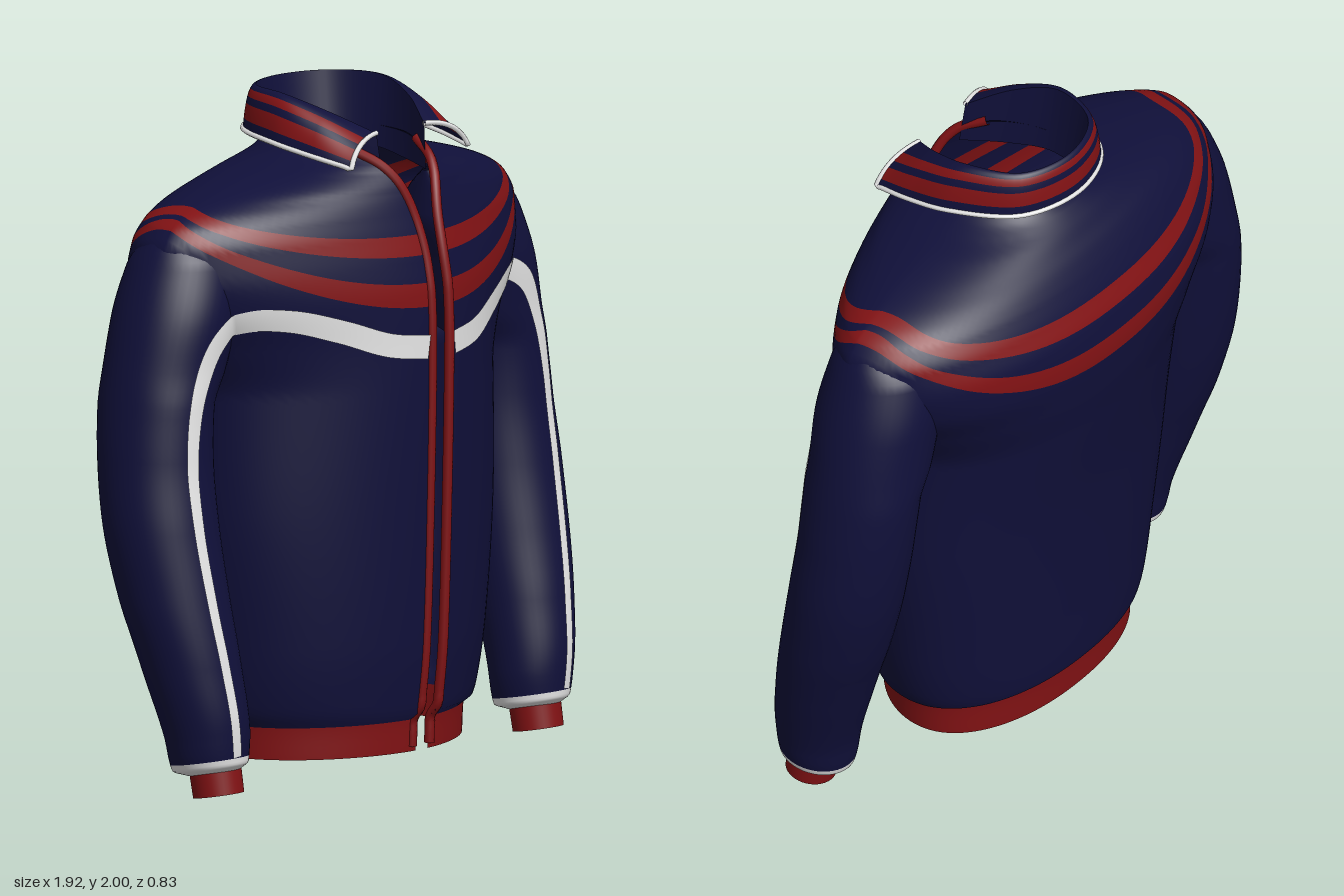
import * as THREE from 'three';

const V = (x, y, z) => new THREE.Vector3(x, y, z);
const lerp = THREE.MathUtils.lerp;
const mat = (name, color) => {
  const m = new THREE.MeshStandardMaterial({ color, side: THREE.DoubleSide });
  m.name = name;
  return m;
};

// Smooth, overshoot-free lookup in rows of [y, a, b, ...]
function lookup(rows, y) {
  const n = rows.length;
  y = THREE.MathUtils.clamp(y, rows[0][0], rows[n - 1][0]);
  let i = 0;
  while (i < n - 2 && y > rows[i + 1][0]) i++;
  const h = rows[i + 1][0] - rows[i][0], t = (y - rows[i][0]) / h;
  const sec = (k, c) => (rows[k + 1][c] - rows[k][c]) / (rows[k + 1][0] - rows[k][0]);
  const slope = (k, c) => {
    if (k === 0) return sec(0, c);
    if (k === n - 1) return sec(n - 2, c);
    const a = sec(k - 1, c), b = sec(k, c);
    return a * b <= 0 ? 0 : (2 * a * b) / (a + b);
  };
  return rows[i].slice(1).map((_, j) => {
    const c = j + 1, a = rows[i][c], b = rows[i + 1][c];
    return a * (1 + 2 * t) * (1 - t) ** 2 + b * t * t * (3 - 2 * t)
      + h * (slope(i, c) * t * (1 - t) ** 2 - slope(i + 1, c) * t * t * (1 - t));
  });
}

// Grid surface from f(u, v), with normals taken from the surface itself
function surface(name, f, nu, nv, material) {
  const pos = [], nor = [], idx = [], e = 1e-3;
  for (let j = 0; j <= nv; j++) for (let i = 0; i <= nu; i++) {
    const u = i / nu, v = j / nv;
    const du = f(Math.min(u + e, 1), v).sub(f(Math.max(u - e, 0), v));
    const dv = f(u, Math.min(v + e, 1)).sub(f(u, Math.max(v - e, 0)));
    pos.push(...f(u, v).toArray());
    nor.push(...du.cross(dv).normalize().toArray());
    if (i < nu && j < nv) {
      const a = j * (nu + 1) + i, b = a + nu + 1;
      idx.push(a, a + 1, b, a + 1, b + 1, b);
    }
  }
  const g = new THREE.BufferGeometry();
  g.setAttribute('position', new THREE.Float32BufferAttribute(pos, 3));
  g.setAttribute('normal', new THREE.Float32BufferAttribute(nor, 3));
  g.setIndex(idx);
  const m = new THREE.Mesh(g, material);
  m.name = name;
  return m;
}

// Torso: height, half width, front z, back z, front roundness, half gap
const TORSO = [
  [0.07, 0.45, 0.335, -0.245, 1.9, 0.028], [0.165, 0.455, 0.34, -0.25, 1.9, 0.028],
  [0.18, 0.485, 0.362, -0.268, 1.9, 0.028], [0.24, 0.51, 0.372, -0.275, 1.9, 0.028],
  [0.4, 0.54, 0.388, -0.285, 1.9, 0.028], [0.8, 0.585, 0.402, -0.32, 1.85, 0.028],
  [1.15, 0.595, 0.41, -0.375, 1.75, 0.028], [1.3, 0.67, 0.412, -0.4, 1.6, 0.028],
  [1.42, 0.755, 0.408, -0.41, 1.55, 0.028], [1.52, 0.785, 0.392, -0.4, 1.55, 0.028],
  [1.6, 0.782, 0.372, -0.37, 1.55, 0.033], [1.66, 0.745, 0.355, -0.34, 1.55, 0.042],
  [1.69, 0.7, 0.347, -0.322, 1.55, 0.05], [1.715, 0.64, 0.34, -0.305, 1.55, 0.058],
  [1.745, 0.54, 0.33, -0.28, 1.6, 0.07], [1.775, 0.42, 0.318, -0.255, 1.6, 0.085],
  [1.8, 0.31, 0.305, -0.23, 1.7, 0.1], [1.82, 0.25, 0.29, -0.21, 1.7, 0.115],
  [1.85, 0.2, 0.27, -0.19, 1.8, 0.14],
];
const BACK = 2.15;

function torsoPoint(u, y) {
  const [w, zf, zb, pf, gap] = lookup(TORSO, y);
  const t0 = Math.asin((gap / w) ** (pf / 2));
  const t = t0 + u * 2 * (Math.PI - t0), s = Math.sin(t), c = Math.cos(t);
  const q = 2 / (c > 0 ? pf : BACK);
  return V(w * Math.sign(s) * Math.abs(s) ** q, y, (c > 0 ? zf : zb) * Math.abs(c) ** q);
}

// Sleeve: height, inner x, outer x, front z, back z
const SLEEVE = [
  [0.08, 0.668, 0.81, 0.235, 0.08], [0.1, 0.632, 0.852, 0.258, 0.035],
  [0.2, 0.62, 0.876, 0.262, 0.015], [0.4, 0.621, 0.917, 0.24, -0.05],
  [0.6, 0.621, 0.948, 0.205, -0.12], [0.8, 0.62, 0.96, 0.17, -0.17],
  [1.0, 0.617, 0.947, 0.145, -0.2], [1.15, 0.607, 0.928, 0.14, -0.213],
  [1.25, 0.55, 0.91, 0.142, -0.217], [1.4, 0.5, 0.873, 0.15, -0.217],
  [1.55, 0.45, 0.815, 0.135, -0.2], [1.63, 0.45, 0.765, 0.09, -0.14],
  [1.68, 0.45, 0.69, 0.02, -0.06],
];
const tilt = (p) => {
  p.y += 0.18 * (p.z - 0.15) * THREE.MathUtils.clamp(1 - (p.y - 0.1) / 0.4, 0, 1);
  return p;
};
function sleevePoint(u, y) {
  const [a, b, f, k] = lookup(SLEEVE, y), t = u * 2 * Math.PI;
  return tilt(V((a + b) / 2 + (b - a) / 2 * Math.sin(t), y, (f + k) / 2 + (f - k) / 2 * Math.cos(t)));
}

// Foremost z of torso or sleeve at (x, y)
function frontZ(x, y) {
  const [w, zf, , pf] = lookup(TORSO, y), [a, b, f, k] = lookup(SLEEVE, y);
  const X = x / w, S = (x - (a + b) / 2) / ((b - a) / 2);
  const zt = X < 1 ? zf * (1 - X ** pf) ** (1 / pf) : -1;
  const zs = Math.abs(S) < 1 ? (f + k) / 2 + (f - k) / 2 * Math.sqrt(1 - S * S) : -1;
  return Math.max(zt, zs);
}

const mirrored = (f, side) => (u, v) => {
  const p = f(side > 0 ? u : 1 - u, v);
  p.x *= side;
  return p;
};

export function createModel() {
  const navy = mat('navy cloth', 0x10103a);
  const red = mat('red knit', 0x821214);
  const white = mat('white piping', 0xececec);
  const jacket = new THREE.Group();
  jacket.name = 'jacket';

  // Torso in horizontal bands; each edge is [height at centre, height at shoulder]
  const edges = [[0.07, 0.07], [0.165, 0.165], [1.39, 1.662], [1.46, 1.688], [1.54, 1.698], [1.6, 1.717], [1.85, 1.85]];
  const bands = [['hemBand', red, 5], ['body', navy, 64], ['lowerYokeStripe', red, 4],
    ['yokeGap', navy, 4], ['upperYokeStripe', red, 4], ['shoulders', navy, 26]];
  bands.forEach(([name, m, rows], i) => {
    const at = ([c, s], u) => lerp(c, s, Math.abs(Math.sin(u * 2 * Math.PI)) ** 2.5);
    jacket.add(surface(name, (u, v) => torsoPoint(u, lerp(at(edges[i], u), at(edges[i + 1], u), v)), 112, rows, m));
  });

  // White chest stripe running down the sleeve: x, y, width
  const path = new THREE.CatmullRomCurve3([
    V(0.058, 1.272, 0.07), V(0.2, 1.292, 0.07), V(0.35, 1.345, 0.068), V(0.5, 1.388, 0.066),
    V(0.61, 1.392, 0.066), V(0.71, 1.34, 0.064), V(0.78, 1.21, 0.052), V(0.815, 1.05, 0.042),
    V(0.823, 0.85, 0.038), V(0.81, 0.6, 0.036), V(0.785, 0.35, 0.034), V(0.76, 0.12, 0.032)]);
  const stripe = (u, v) => {
    const p = path.getPoint(u), t = path.getTangent(u), l = Math.hypot(t.x, t.y);
    const d = (v - 0.5) * p.z, x = p.x - t.y / l * d, y = p.y + t.x / l * d;
    return tilt(V(x, y, frontZ(x, y) + 0.005));
  };

  for (const side of [1, -1]) {
    const tag = side > 0 ? 'left' : 'right';
    // Sleeve, its white end piping and the cuff
    const part = (y0, y1) => mirrored((u, v) => sleevePoint(u, lerp(y0, y1, v)), side);
    jacket.add(surface(tag + 'Sleeve', part(0.118, 1.68), 48, 60, navy));
    jacket.add(surface(tag + 'SleevePiping', part(0.08, 0.118), 48, 6, white));
    jacket.add(surface(tag + 'ChestStripe', mirrored(stripe, side), 120, 4, white));

    const cuff = new THREE.Group();
    cuff.name = tag + 'Cuff';
    const band = new THREE.Mesh(new THREE.CylinderGeometry(0.077, 0.075, 0.1, 40, 1, true), red);
    band.name = 'cuffBand';
    const inside = new THREE.Mesh(new THREE.CircleGeometry(0.075, 40).rotateX(Math.PI / 2), navy);
    inside.name = 'cuffInside';
    inside.position.y = -0.046;
    cuff.add(band, inside);
    cuff.position.set(side * 0.738, 0.066, 0.165);
    cuff.rotation.x = -0.17;
    jacket.add(cuff);

    // Red edging of the front opening
    const pts = [];
    for (let i = 0; i <= 44; i++) {
      const p = torsoPoint(0, lerp(0.085, 1.84, i / 44));
      pts.push(V(side * (p.x + 0.012), p.y, p.z - 0.004));
    }
    const edging = new THREE.Mesh(new THREE.TubeGeometry(new THREE.CatmullRomCurve3(pts), 120, 0.015, 8), red);
    edging.name = tag + 'FrontEdging';
    jacket.add(edging);
  }

  // Collar guides from front left, round the back, to front right
  const guide = (half) => new THREE.CatmullRomCurve3(
    [...half, ...half.slice(0, -1).reverse().map((p) => V(-p.x, p.y, p.z))]);
  const foot = guide([V(0.1, 1.76, 0.27), V(0.165, 1.77, 0.14), V(0.19, 1.79, 0), V(0.14, 1.8, -0.125), V(0, 1.8, -0.175)]);
  const fold = guide([V(0.11, 1.893, 0.255), V(0.185, 1.955, 0.135), V(0.22, 1.997, 0), V(0.16, 2, -0.155), V(0, 2, -0.21)]);
  const hang = guide([V(0.27, 1.812, 0.29), V(0.292, 1.838, 0.16), V(0.288, 1.862, 0.01), V(0.19, 1.873, -0.18), V(0, 1.875, -0.243)]);

  const leaf = (u, v) => {
    const b = fold.getPoint(u), c = hang.getPoint(u);
    const k = V(lerp(b.x, c.x, 0.75), b.y, lerp(b.z, c.z, 0.75));
    return b.multiplyScalar((1 - v) ** 2).addScaledVector(k, 2 * v * (1 - v)).addScaledVector(c, v * v);
  };
  jacket.add(surface('collarStand', (u, v) => foot.getPoint(u).lerp(fold.getPoint(u), v), 64, 6, navy));
  [[0, 0.3, navy], [0.3, 0.5, red], [0.5, 0.64, navy], [0.64, 0.87, red], [0.87, 1, navy]].forEach(([a, b, m], i) => {
    jacket.add(surface('collarLeaf' + (i + 1), (u, v) => leaf(u, lerp(b, a, v)), 64, 5, m));
  });

  // White piping along the collar's ends and lower edge
  const rim = [];
  for (let i = 0; i <= 8; i++) rim.push(leaf(0, i / 8));
  for (let i = 1; i < 40; i++) rim.push(leaf(i / 40, 1));
  for (let i = 8; i >= 0; i--) rim.push(leaf(1, i / 8));
  const piping = new THREE.Mesh(new THREE.TubeGeometry(new THREE.CatmullRomCurve3(rim), 160, 0.008, 6), white);
  piping.name = 'collarPiping';
  jacket.add(piping);

  return jacket;
}
